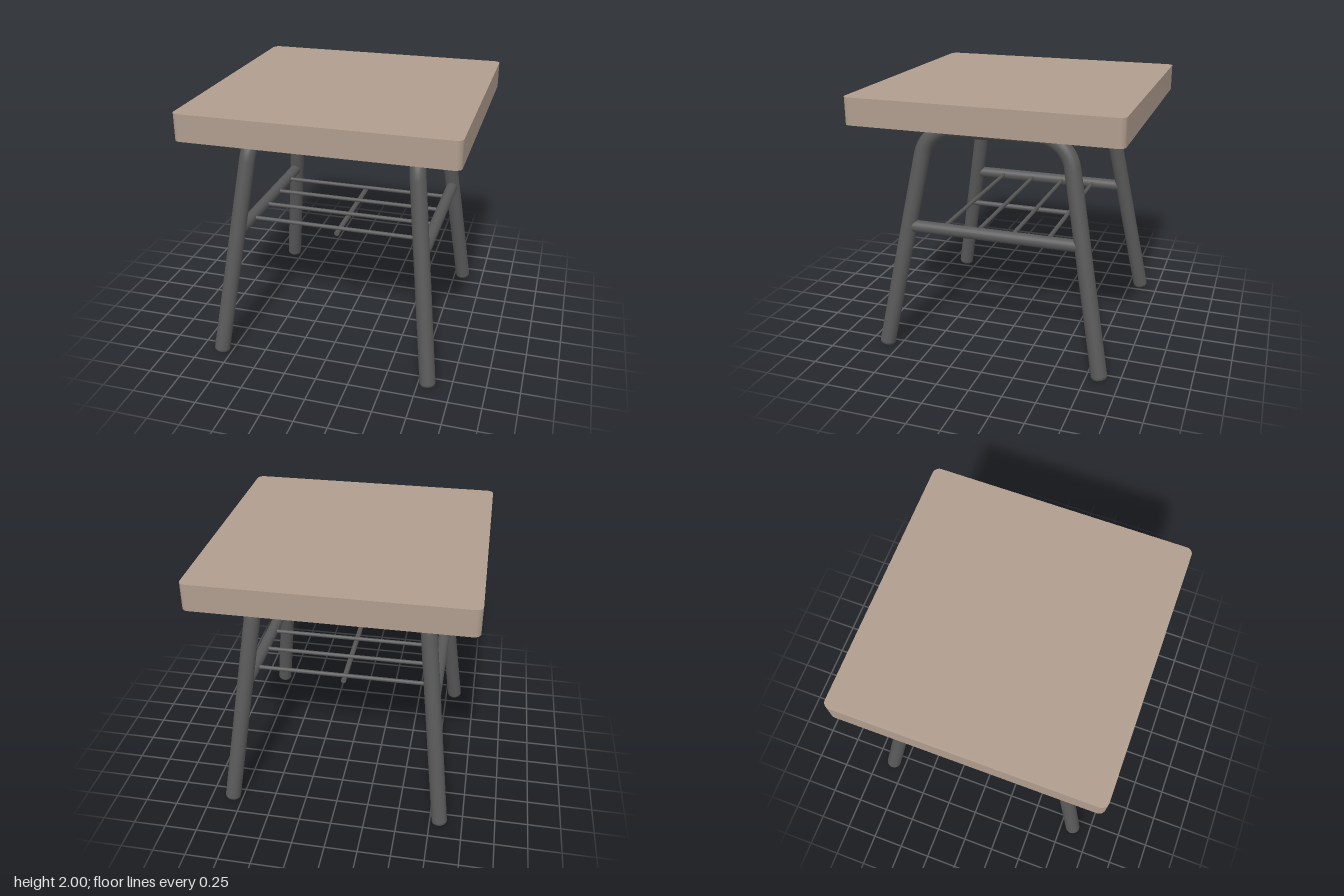
import * as THREE from 'three';
import { toCreasedNormals } from 'three/addons/utils/BufferGeometryUtils.js';

// Curve through listed points, one tube ring per point
class Polyline extends THREE.Curve {
  constructor(points) { super(); this.points = points; }
  getUtoTmapping(u) { return u; }
  getPoint(t, target = new THREE.Vector3()) {
    const n = this.points.length - 1;
    const s = THREE.MathUtils.clamp(t, 0, 1) * n;
    const i = Math.min(Math.floor(s), n - 1);
    return target.lerpVectors(this.points[i], this.points[i + 1], s - i);
  }
}

export function createModel() {
  const model = new THREE.Group();
  const wood = new THREE.MeshStandardMaterial({ color: 0xb09d8e });
  wood.name = 'wood';
  const metal = new THREE.MeshStandardMaterial({ color: 0x585858 });
  metal.name = 'dark metal';

  function add(name, geometry, material, parent = model) {
    const mesh = new THREE.Mesh(geometry, material);
    mesh.name = name;
    parent.add(mesh);
    return mesh;
  }

  // Seat slab: square with rounded vertical corners
  const r = 0.05, e = 1 - r;
  const outline = new THREE.Shape();
  outline.absarc(e, e, r, 0, Math.PI / 2);
  outline.absarc(-e, e, r, Math.PI / 2, Math.PI);
  outline.absarc(-e, -e, r, Math.PI, Math.PI * 1.5);
  outline.absarc(e, -e, r, Math.PI * 1.5, Math.PI * 2);
  outline.closePath();
  const slab = new THREE.ExtrudeGeometry(outline, { depth: 0.2, bevelEnabled: false, curveSegments: 8 });
  slab.rotateX(-Math.PI / 2);
  slab.translate(0, 1.8, 0);
  add('seat', toCreasedNormals(slab, 0.6), wood);

  // Bent leg frame: two splayed legs joined by a rounded top
  const tube = 0.06, topY = 1.733, footY = 0.03, cornerZ = 0.535, slopeZ = 0.185, slopeX = 0.12;
  const bend = 0.25;
  const turn = Math.PI / 2 - Math.atan(slopeZ);
  const bendZ = cornerZ - bend * Math.tan(turn / 2);
  const frameX = (y) => 0.62 + (topY - y) * slopeX;
  const at = (y, z) => new THREE.Vector3(frameX(y), y, z);

  const half = [];
  for (let i = 0; i <= 10; i++) {
    const a = (turn * i) / 10;
    half.push(at(topY - bend * (1 - Math.cos(a)), bendZ + bend * Math.sin(a)));
  }
  half.push(at(footY, cornerZ + (topY - footY) * slopeZ));
  const mirrored = half.map((p) => new THREE.Vector3(p.x, p.y, -p.z)).reverse();
  const path = new Polyline([...mirrored, ...half]);
  const frameGeometry = new THREE.TubeGeometry(path, path.points.length - 1, tube, 24, false);

  // Softly rounded foot end, closing the tube
  const footProfile = [[0, -0.022], [0.042, -0.022], [0.051, -0.019], [0.057, -0.011], [tube, 0]]
    .map(([x, y]) => new THREE.Vector2(x, y));
  const footGeometry = new THREE.LatheGeometry(footProfile, 24);

  const barY = 0.98;
  const barX = frameX(barY);
  const barHalf = cornerZ + (topY - barY) * slopeZ;
  for (const side of [1, -1]) {
    const frame = new THREE.Group();
    frame.name = side > 0 ? 'leftLegFrame' : 'rightLegFrame';
    if (side < 0) frame.rotation.y = Math.PI;
    model.add(frame);

    add('bentLegs', frameGeometry, metal, frame);
    for (const end of [1, -1]) {
      const foot = add('foot', footGeometry, metal, frame);
      foot.position.copy(at(footY, end * (cornerZ + (topY - footY) * slopeZ)));
      const upLeg = new THREE.Vector3(-slopeX, 1, -end * slopeZ).normalize();
      foot.quaternion.setFromUnitVectors(new THREE.Vector3(0, 1, 0), upLeg);
    }

    // Side stretcher between the two legs
    const bar = add('sideStretcher', new THREE.CylinderGeometry(0.046, 0.046, barHalf * 2, 24), metal, frame);
    bar.rotation.x = Math.PI / 2;
    bar.position.set(barX, barY, 0);

    // Mounting plate under the seat
    const plate = add('mountingPlate', new THREE.BoxGeometry(0.37, 0.009, 1.395), metal);
    plate.position.set(side * 0.62, 1.7955, -0.007);
  }

  // Shelf rods across the stool
  for (const z of [-0.405, -0.135, 0.135, 0.405]) {
    const rod = add('shelfRod', new THREE.CylinderGeometry(0.016, 0.016, barX * 2, 14), metal);
    rod.rotation.z = Math.PI / 2;
    rod.position.set(0, 0.984, z);
  }

  // Centre rod tying the shelf rods together from below
  const tie = add('shelfTieRod', new THREE.CylinderGeometry(0.02, 0.02, 0.86, 14), metal);
  tie.rotation.x = Math.PI / 2;
  tie.position.set(0, 0.948, 0);

  return model;
}
